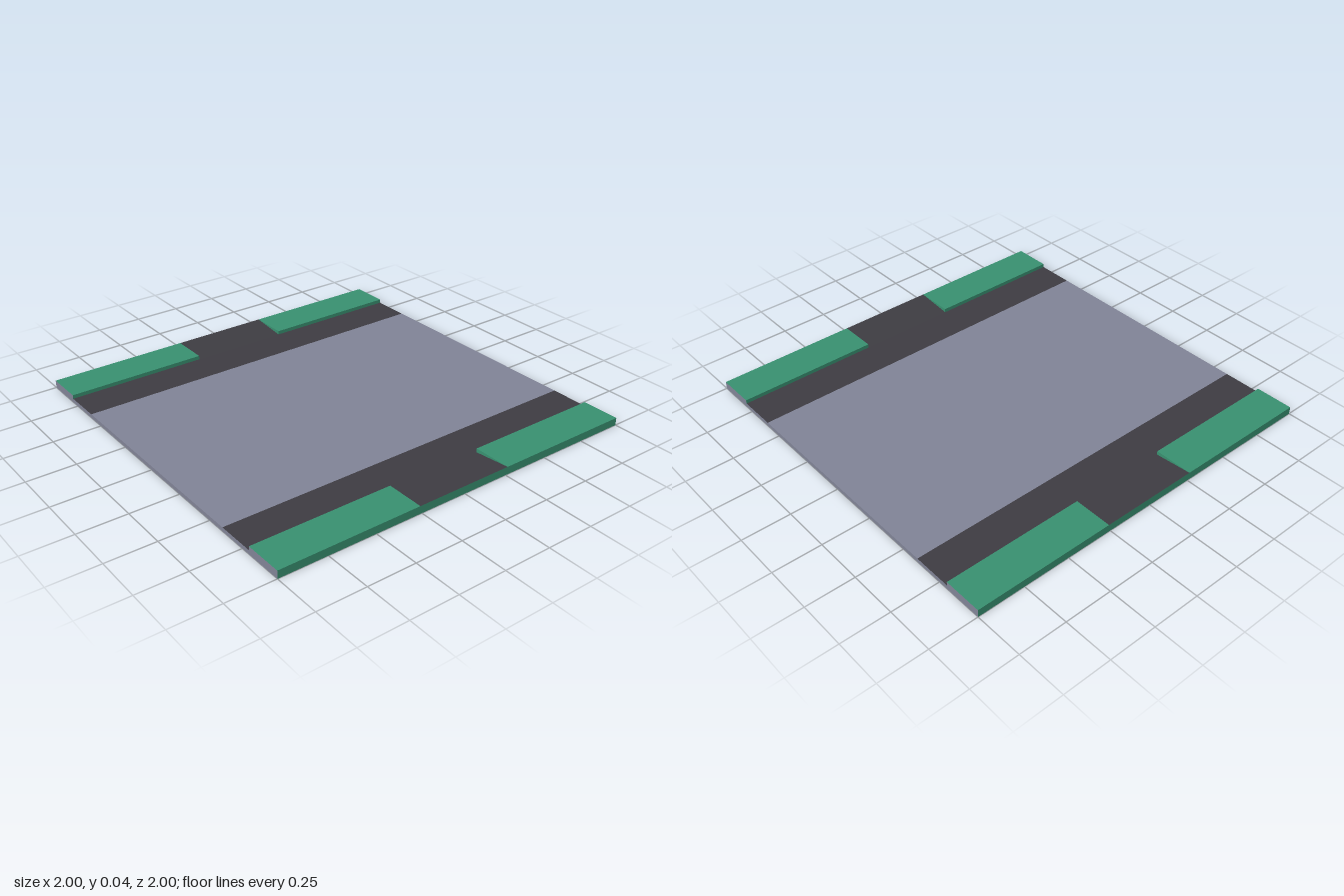
import * as THREE from 'three';

export function createModel() {
  const flat = (name, color) => Object.assign(new THREE.MeshStandardMaterial({ color }), { name });
  const grass = flat('grass green', 0x389070);
  const asphalt = flat('asphalt grey', 0x808396);
  const shoulder = flat('shoulder dark grey', 0x3e3c42);

  const model = new THREE.Group();
  model.name = 'roadTile';

  // Box between two corners; faces are [+x, -x, +y, -y, +z, -z], null leaves a hidden face out
  function block(name, [x0, y0, z0], [x1, y1, z1], faces) {
    const geo = new THREE.BoxGeometry(x1 - x0, y1 - y0, z1 - z0);
    geo.translate((x0 + x1) / 2, (y0 + y1) / 2, (z0 + z1) / 2);
    const index = Array.from(geo.index.array);
    const kept = [], mats = [];
    geo.clearGroups();
    faces.forEach((mat, i) => {
      if (!mat) return;
      geo.addGroup(kept.length, 6, mats.length);
      kept.push(...index.slice(i * 6, i * 6 + 6));
      mats.push(mat);
    });
    geo.setIndex(kept);
    const mesh = new THREE.Mesh(geo, mats);
    mesh.name = name;
    model.add(mesh);
    return mesh;
  }

  const LOW = 0.02, HIGH = 0.04, GAP = 0.26;
  const topOnly = (mat) => [null, null, mat, null, null, null];

  // Base slab: grey ends, green front, back and underside
  block('baseSlab', [-1, 0, -1], [1, LOW, 1], [asphalt, asphalt, null, grass, grass, grass]);

  // Road surface
  block('road', [-1, 0, -0.6], [1, LOW, 0.6], topOnly(asphalt));

  for (const s of [1, -1]) {
    const side = s > 0 ? 'front' : 'back';
    const span = (a, b) => (s > 0 ? [a, b] : [-b, -a]);

    // Dark shoulder beside the road
    const [sh0, sh1] = span(0.6, 0.8);
    block(side + 'Shoulder', [-1, 0, sh0], [1, LOW, sh1], topOnly(shoulder));

    // Raised verges either side of the driveway
    const [v0, v1] = span(0.8, 1);
    block(side + 'LeftVerge', [GAP, LOW, v0], [1, HIGH, v1], [asphalt, grass, grass, null, grass, grass]);
    block(side + 'RightVerge', [-1, LOW, v0], [-GAP, HIGH, v1], [grass, asphalt, grass, null, grass, grass]);

    // Driveway ramp rising to the outer edge
    const ramp = block(side + 'Ramp', [-GAP, LOW, v0], [GAP, HIGH, v1],
      [null, null, shoulder, null, s > 0 ? grass : null, s > 0 ? null : grass]);
    const pos = ramp.geometry.attributes.position;
    for (let i = 0; i < pos.count; i++) {
      if (Math.abs(pos.getZ(i)) < 0.9) pos.setY(i, LOW);
    }
    ramp.geometry.computeVertexNormals();
  }

  return model;
}
